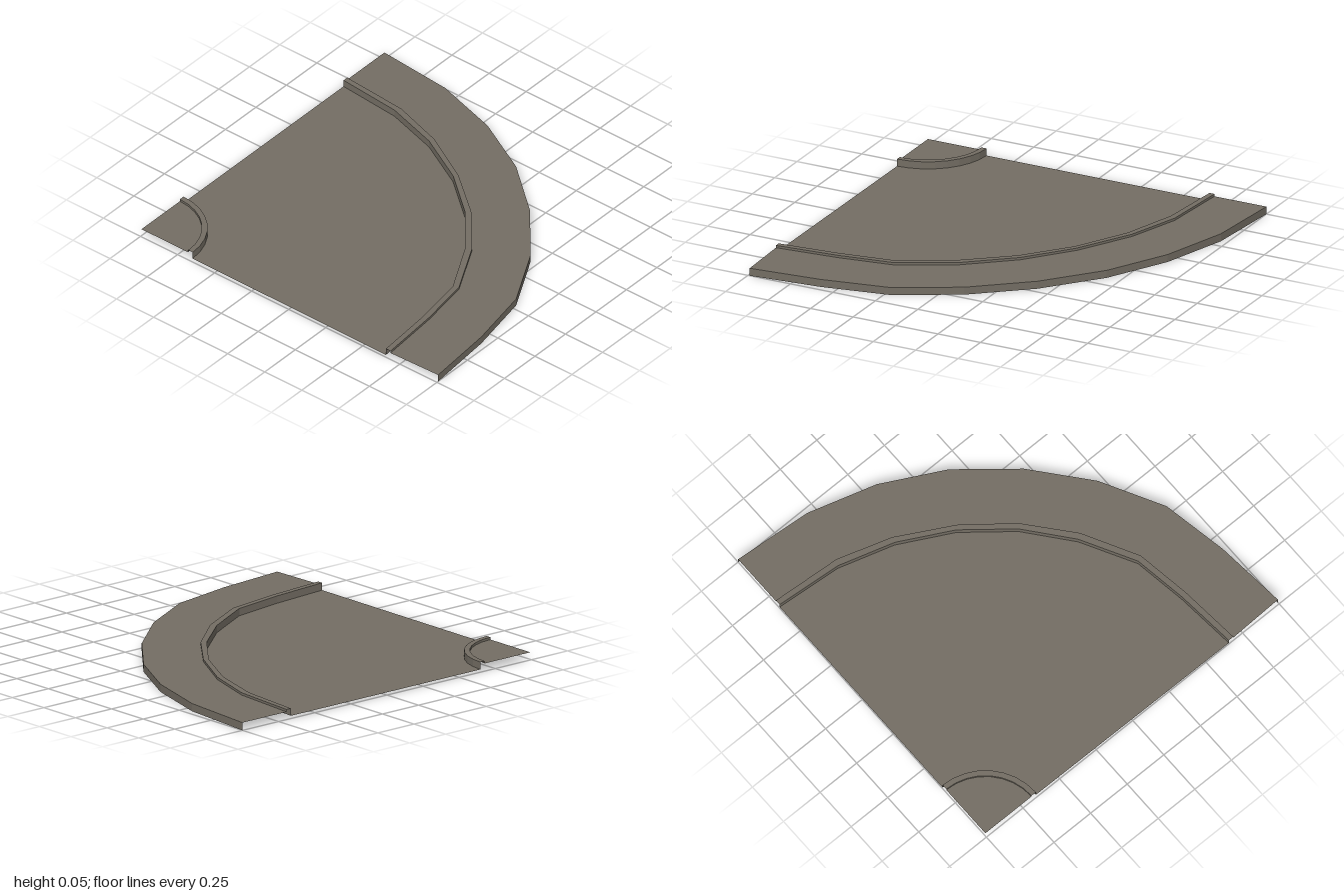
import * as THREE from 'three';

// Plan outlines [x, z], running from the back left edge round to the front edge
const RIM = [[-1, -1], [-0.56, -0.963], [-0.18, -0.85], [0.16, -0.67], [0.46, -0.42],
  [0.71, -0.12], [0.893, 0.22], [0.963, 0.59], [1, 0.99]];
const RIDGE_OUT = [[-1, -0.695], [-0.61, -0.665], [-0.31, -0.57], [-0.01, -0.405], [0.24, -0.205],
  [0.45, 0.045], [0.61, 0.345], [0.657, 0.65], [0.687, 1]];
const RIDGE_IN = [[-1, -0.665], [-0.63, -0.633], [-0.32, -0.54], [-0.03, -0.385], [0.22, -0.18],
  [0.42, 0.065], [0.58, 0.36], [0.626, 0.66], [0.656, 1]];

// Quarter circle round the corner, with as many points as the outlines
const arc = (r) => RIM.map((_, i) => {
  const a = (i / (RIM.length - 1)) * Math.PI / 2;
  return [-1 + r * Math.sin(a), 0.992 - r * Math.cos(a)];
});

// Sheet spanning two outlines at their own heights
function band(inner, yInner, outer, yOuter) {
  const pos = [];
  for (let i = 0; i < inner.length - 1; i++) {
    const p = ([x, z], y) => [x, y, z];
    const a = p(inner[i], yInner), b = p(inner[i + 1], yInner);
    const c = p(outer[i + 1], yOuter), d = p(outer[i], yOuter);
    pos.push(...a, ...b, ...c, ...a, ...c, ...d);
  }
  const g = new THREE.BufferGeometry();
  g.setAttribute('position', new THREE.Float32BufferAttribute(pos, 3));
  g.computeVertexNormals();
  return g;
}

export function createModel() {
  const group = new THREE.Group();
  group.name = 'quarterRoundSlab';
  const stone = new THREE.MeshStandardMaterial({ color: 0x746e64, side: THREE.DoubleSide, flatShading: true });
  stone.name = 'warmGrey';

  const TOP = 0.055, SHELF = 0.042, FLOOR = 0.015;
  const kerbIn = arc(0.315), kerbOut = arc(0.345);

  // Profile from the corner out to the rim; each step becomes one sheet
  const steps = [
    ['cornerPad', arc(0), SHELF, kerbIn, SHELF],
    ['innerKerbBack', kerbIn, SHELF, kerbIn, TOP],
    ['innerKerbTop', kerbIn, TOP, kerbOut, TOP],
    ['innerKerbFace', kerbOut, TOP, kerbOut, FLOOR],
    ['floorPanel', kerbOut, FLOOR, RIDGE_IN, FLOOR],
    ['outerKerbFace', RIDGE_IN, FLOOR, RIDGE_IN, TOP],
    ['outerKerbTop', RIDGE_IN, TOP, RIDGE_OUT, TOP],
    ['outerKerbBack', RIDGE_OUT, TOP, RIDGE_OUT, SHELF],
    ['outerShelf', RIDGE_OUT, SHELF, RIM, SHELF],
    ['rimSkirt', RIM, SHELF, RIM, 0],
  ];
  for (const [name, ...profile] of steps) {
    const mesh = new THREE.Mesh(band(...profile), stone);
    mesh.name = name;
    group.add(mesh);
  }
  return group;
}
